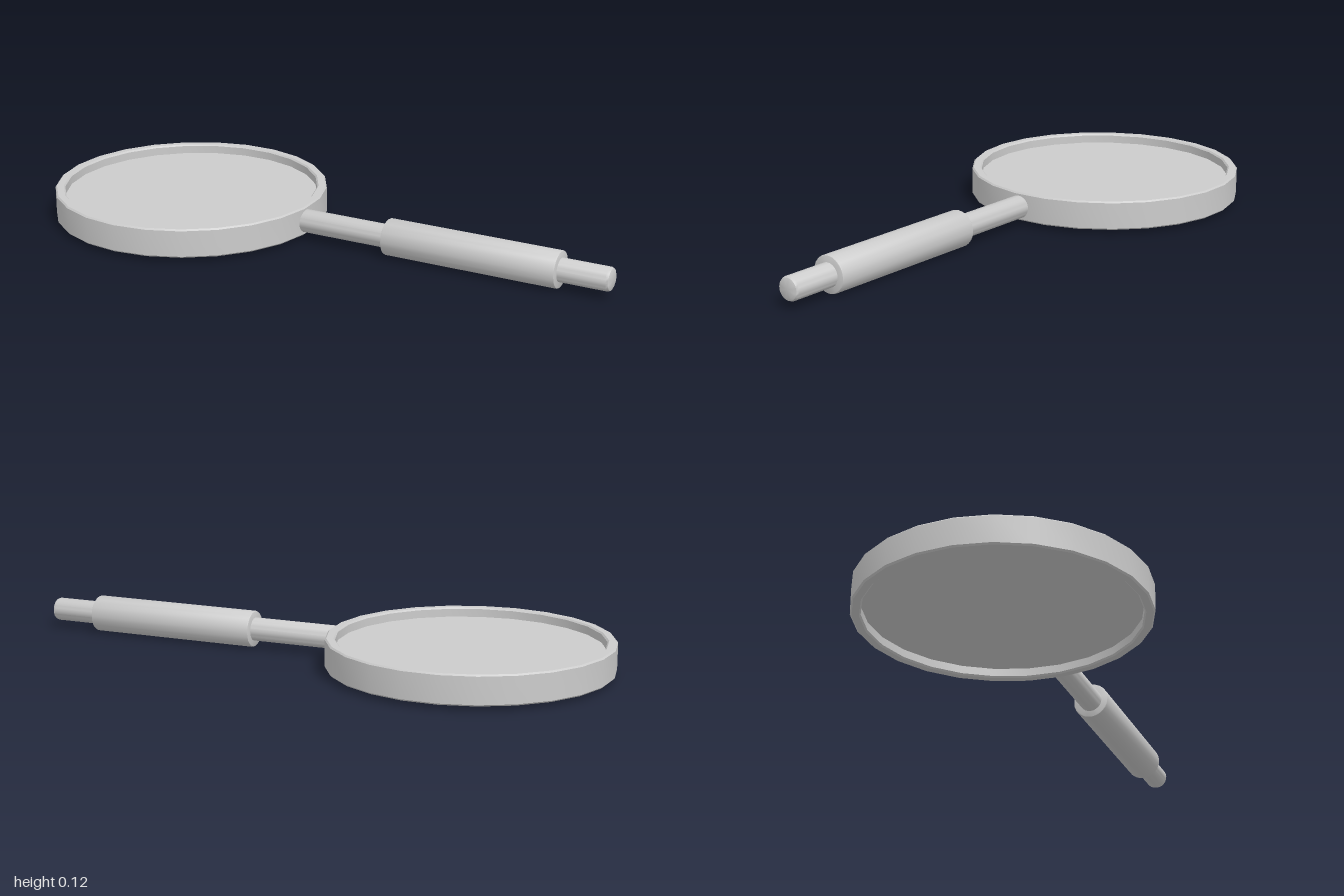
import * as THREE from 'three';
import { toCreasedNormals } from 'three/addons/utils/BufferGeometryUtils.js';

const material = new THREE.MeshStandardMaterial({ color: 0xcccccc });

// Turn a profile of [radius, height] points around the y axis
function lathe(name, profile, segments) {
  const points = profile.map(([r, y]) => new THREE.Vector2(r, y));
  const geometry = toCreasedNormals(new THREE.LatheGeometry(points, segments), 0.6);
  const mesh = new THREE.Mesh(geometry, material);
  mesh.name = name;
  return mesh;
}

// Bevelled round bar lying along x from x0 to x1
function bar(name, radius, x0, x1, bevel) {
  const mesh = lathe(name, [
    [0, x0], [radius - bevel, x0], [radius - bevel * 0.3, x0 + bevel * 0.3], [radius, x0 + bevel],
    [radius, x1 - bevel], [radius - bevel * 0.3, x1 - bevel * 0.3], [radius - bevel, x1], [0, x1],
  ], 24);
  mesh.rotation.z = -Math.PI / 2;
  return mesh;
}

export function createModel() {
  const model = new THREE.Group();
  model.name = 'magnifyingGlass';

  // Lens head: bevelled rim holding a recessed flat lens
  const head = new THREE.Group();
  head.name = 'head';
  head.position.x = -0.537;
  const outer = 0.464, inner = 0.431, bottom = 0.015, top = 0.112, b = 0.005;
  head.add(lathe('rim', [
    [outer - b, bottom], [outer, bottom + b], [outer, top - b], [outer - b, top],
    [inner + b, top], [inner, top - b], [inner, bottom + b], [inner + b, bottom],
    [outer - b, bottom],
  ], 25));
  head.add(lathe('lens', [[0, 0.046], [inner + 0.004, 0.046], [inner + 0.004, 0.08], [0, 0.08]], 25));
  model.add(head);

  // Handle: slim rod with a thicker grip sleeve
  const handle = new THREE.Group();
  handle.name = 'handle';
  handle.position.set(0, 0.062, 0.017);
  handle.add(bar('rod', 0.039, -0.1, 1, 0.012));
  handle.add(bar('grip', 0.061, 0.23, 0.83, 0.005));
  model.add(handle);

  return model;
}
